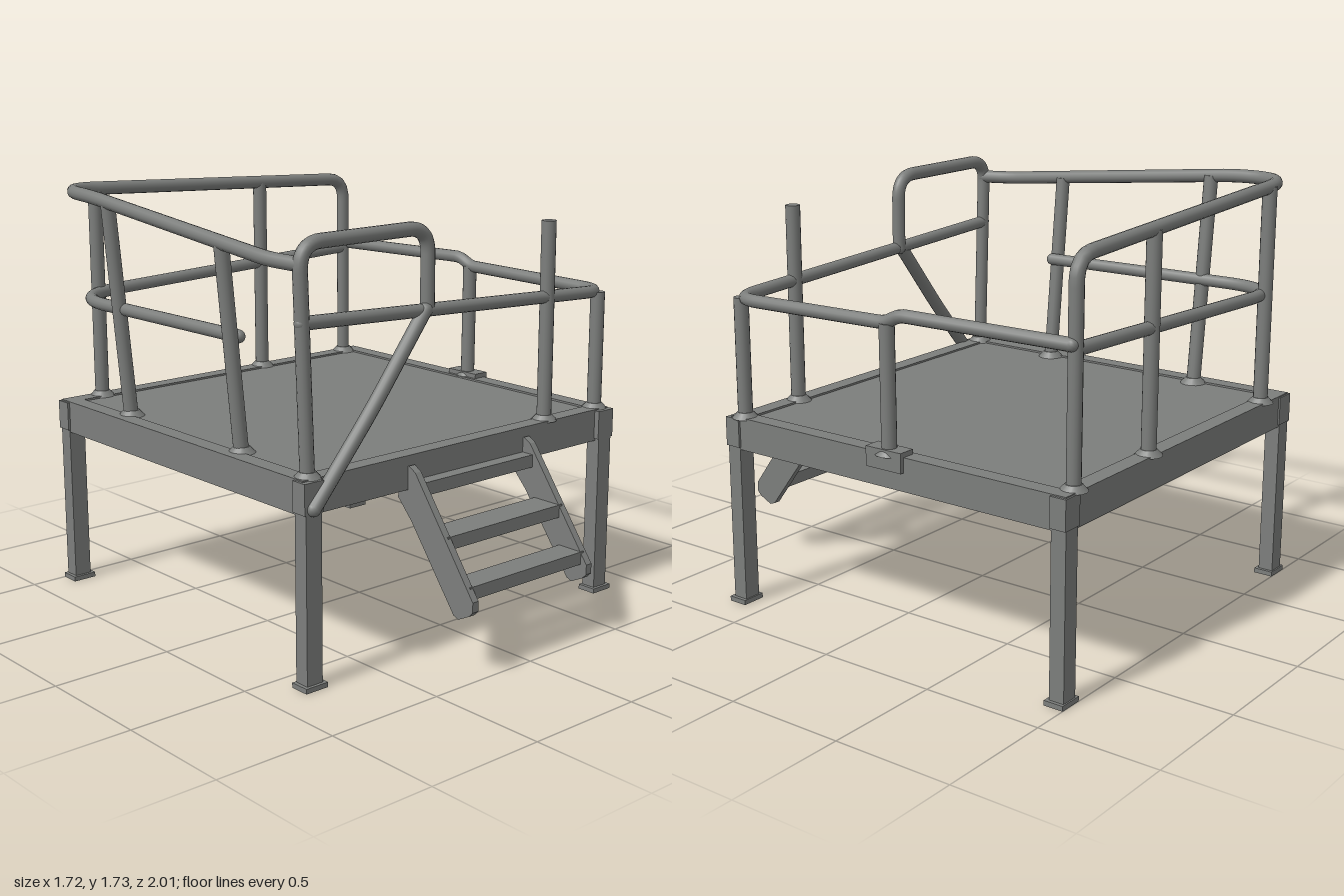
import * as THREE from 'three';

const V = (x, y, z) => new THREE.Vector3(x, y, z);

export function createModel() {
  const model = new THREE.Group();
  model.name = 'accessPlatform';
  const steel = new THREE.MeshStandardMaterial({ color: 0x7c7e7c });
  steel.name = 'grey steel';

  const add = (name, geometry, x = 0, y = 0, z = 0) => {
    const mesh = new THREE.Mesh(geometry, steel);
    mesh.name = name;
    mesh.position.set(x, y, z);
    model.add(mesh);
    return mesh;
  };
  // box given by its limits on each axis
  const box = (name, x0, x1, y0, y1, z0, z1) =>
    add(name, new THREE.BoxGeometry(x1 - x0, y1 - y0, z1 - z0),
      (x0 + x1) / 2, (y0 + y1) / 2, (z0 + z1) / 2);

  // straight capped bar between two points
  const bar = (name, a, b, r = 0.03) => {
    const mesh = add(name, new THREE.CylinderGeometry(r, r, a.distanceTo(b), 16));
    mesh.position.copy(a).lerp(b, 0.5);
    mesh.quaternion.setFromUnitVectors(V(0, 1, 0), b.clone().sub(a).normalize());
  };
  // bent pipe through points, each inner corner rounded by its radius
  const pipe = (name, points, radii, r = 0.026) => {
    const path = new THREE.CurvePath();
    let from = points[0];
    for (let i = 1; i < points.length - 1; i++) {
      const p = points[i];
      const toward = (q) => p.clone().add(q.clone().sub(p).setLength(radii[i - 1]));
      const start = toward(points[i - 1]);
      const end = toward(points[i + 1]);
      path.add(new THREE.LineCurve3(from, start));
      path.add(new THREE.QuadraticBezierCurve3(start, p, end));
      from = end;
    }
    const last = points[points.length - 1];
    path.add(new THREE.LineCurve3(from, last));
    add(name, new THREE.TubeGeometry(path, 120, r, 14));
    for (const p of [points[0], last]) {
      add(name + 'End', new THREE.SphereGeometry(r, 14, 10), p.x, p.y, p.z);
    }
  };
  const weld = (x, z) =>
    add('postWeld', new THREE.CylinderGeometry(0.032, 0.055, 0.025, 16), x, 0.811, z);

  // deck and edge beams
  box('deck', -0.8, 0.8, 0.755, 0.797, -0.96, 0.61);
  for (const s of [-1, 1]) {
    box('sideBeam', s * 0.795 - 0.035, s * 0.795 + 0.035, 0.67, 0.805, -0.99, 0.64);
  }
  box('frontBeam', -0.83, 0.83, 0.67, 0.805, 0.57, 0.64);
  box('backBeam', -0.83, 0.83, 0.67, 0.805, -0.99, -0.92);

  // legs with corner blocks and feet
  for (const x of [-0.795, 0.795]) {
    for (const z of [-0.962, 0.628]) {
      box('leg', x - 0.037, x + 0.037, 0.01, 0.7, z - 0.032, z + 0.032);
      box('cornerBlock', x - 0.045, x + 0.045, 0.68, 0.8, z - 0.035, z + 0.035);
      box('foot', x - 0.052, x + 0.052, 0, 0.02, z - 0.038, z + 0.045);
    }
  }

  // upper rail round the left and back, ending as the back right post
  pipe('upperRail', [
    V(-0.8, 1.58, 0.6), V(-0.825, 1.585, 0.45), V(-0.825, 1.7, -0.7),
    V(-0.81, 1.705, -0.955), V(0.735, 1.635, -0.958), V(0.735, 0.79, -0.958),
  ], [0.05, 0.08, 0.17, 0.09], 0.028);
  // middle rail of the left and back
  pipe('backMiddleRail', [
    V(-0.75, 1.25, 0.17), V(-0.785, 1.25, -0.955), V(0.735, 1.31, -0.958),
  ], [0.26]);
  // middle rail of the front and right
  pipe('frontMiddleRail', [
    V(-0.8, 1.37, 0.6), V(0.825, 1.295, 0.595), V(0.815, 1.305, -0.17),
    V(0.81, 1.34, -0.23), V(0.755, 1.33, -0.955),
  ], [0.11, 0.03, 0.03]);
  // raised hoop at the front left and its diagonal brace
  pipe('frontHoop', [
    V(-0.775, 0.79, 0.6), V(-0.805, 1.655, 0.6), V(-0.18, 1.655, 0.595), V(-0.18, 1.34, 0.595),
  ], [0.1, 0.1], 0.028);
  pipe('diagonalBrace', [V(-0.8, 0.7, 0.665), V(-0.5, 1.02, 0.645), V(-0.2, 1.345, 0.605)],
    [0.1], 0.028);

  // upright posts: foot x, z and head x, y, z
  const posts = [
    ['backPost', -0.645, -0.958, -0.645, 1.7, -0.958],
    ['backPost', 0.235, -0.958, 0.235, 1.655, -0.958],
    ['leftPost', -0.745, -0.58, -0.82, 1.69, -0.59],
    ['leftPost', -0.745, 0.17, -0.82, 1.61, 0.165],
    ['frontPost', 0.485, 0.595, 0.485, 1.62, 0.595],
    ['frontCornerPost', 0.795, 0.595, 0.795, 1.295, 0.595],
    ['rightPost', 0.81, -0.175, 0.815, 1.305, -0.175],
  ];
  for (const [name, x0, z0, x1, y1, z1] of posts) {
    bar(name, V(x0, 0.78, z0), V(x1, y1, z1));
    weld(x0, z0);
  }
  weld(0.735, -0.958);
  weld(-0.775, 0.6);
  // clamp of the right post
  box('postClamp', 0.775, 0.848, 0.745, 0.825, -0.26, -0.09);

  // steps: two sloping side plates and three treads
  const side = new THREE.Shape([
    [0.6, 0.745], [0.645, 0.765], [0.68, 0.745], [0.86, 0.5], [0.995, 0.315], [0.995, 0.275],
    [0.975, 0.255], [0.92, 0.228], [0.895, 0.237], [0.66, 0.55], [0.585, 0.63],
  ].map(([z, y]) => new THREE.Vector2(z, y)));
  const sideGeometry = new THREE.ExtrudeGeometry(side, { depth: 0.03, bevelEnabled: false });
  sideGeometry.rotateY(-Math.PI / 2);
  for (const x of [-0.3, 0.33]) add('stepSide', sideGeometry, x + 0.015);
  for (const [y, z0, z1] of [[0.65, 0.62, 0.695], [0.475, 0.71, 0.845], [0.31, 0.85, 0.965]]) {
    box('tread', -0.3, 0.33, y, y + 0.052, z0, z1);
  }
  return model;
}
